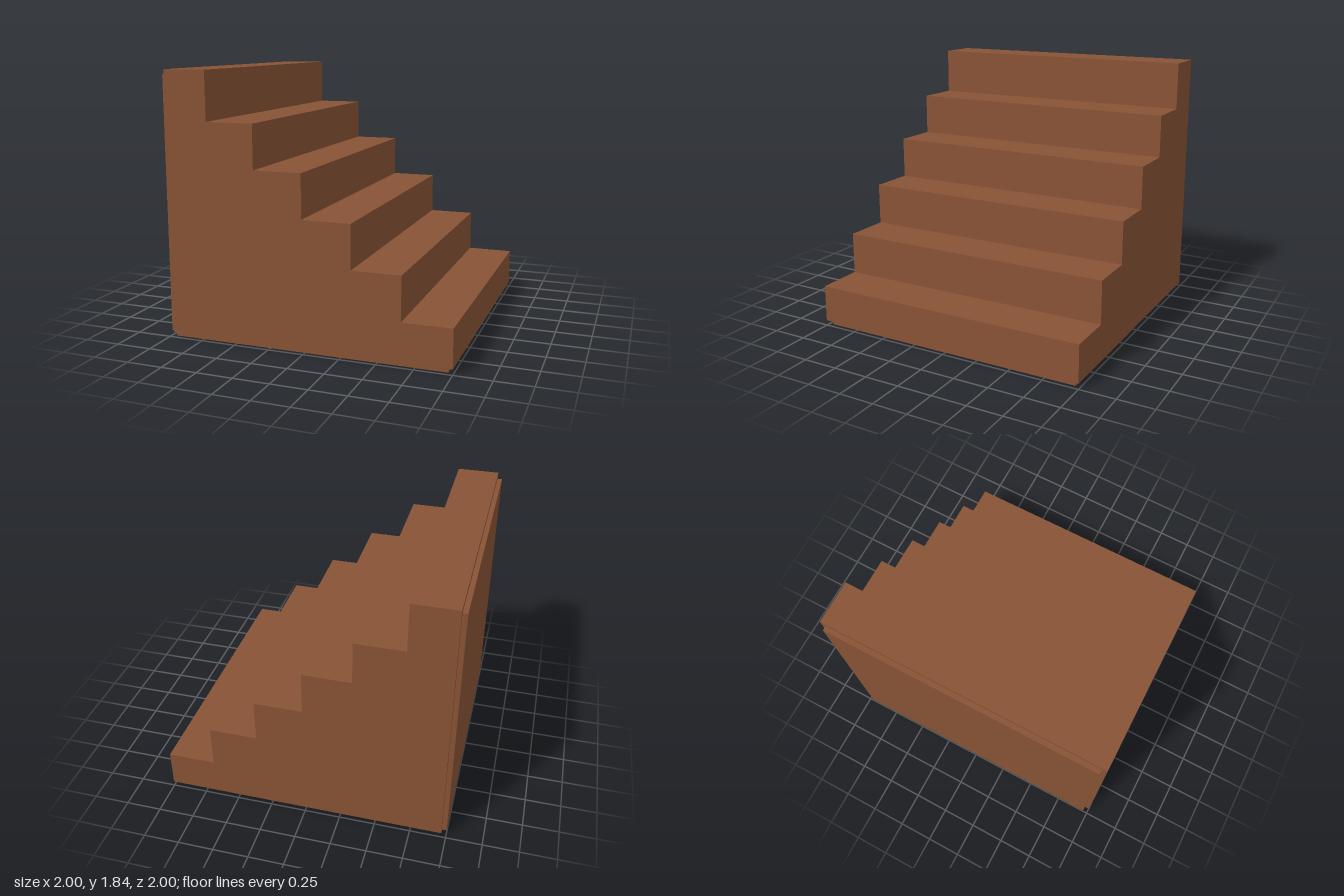
import * as THREE from 'three';

export function createModel() {
  const model = new THREE.Group();
  model.name = 'staircase';
  const wood = new THREE.MeshStandardMaterial({ color: 0x885335 });
  wood.name = 'brown wood';

  const add = (name, geometry, x = 0, y = 0, z = 0) => {
    const mesh = new THREE.Mesh(geometry, wood);
    mesh.name = name;
    mesh.position.set(x, y, z);
    model.add(mesh);
  };

  // Stepped block: side profile, climbing towards -x, extruded along z
  const bottom = 0.037, back = -0.967, run = 1 / 3;
  const heights = [0.3, 0.6, 0.9, 1.2, 1.5, 1.835];
  const profile = new THREE.Shape();
  profile.moveTo(back, bottom);
  profile.lineTo(1, bottom);
  heights.forEach((height, i) => {
    profile.lineTo(1 - i * run, height);
    profile.lineTo(i === heights.length - 1 ? back : 1 - (i + 1) * run, height);
  });
  profile.closePath();
  add('steps', new THREE.ExtrudeGeometry(profile, { depth: 2, bevelEnabled: false }), 0, 0, -1);

  // Inset plinth below the steps
  add('plinth', new THREE.BoxGeometry(1.934, bottom, 1.934), 0, bottom / 2, 0);

  // Inset panel on the tall end
  const panelTop = 1.8;
  add('backPanel', new THREE.BoxGeometry(0.033, panelTop - bottom, 1.934), -0.9835, (panelTop + bottom) / 2, 0);

  return model;
}
